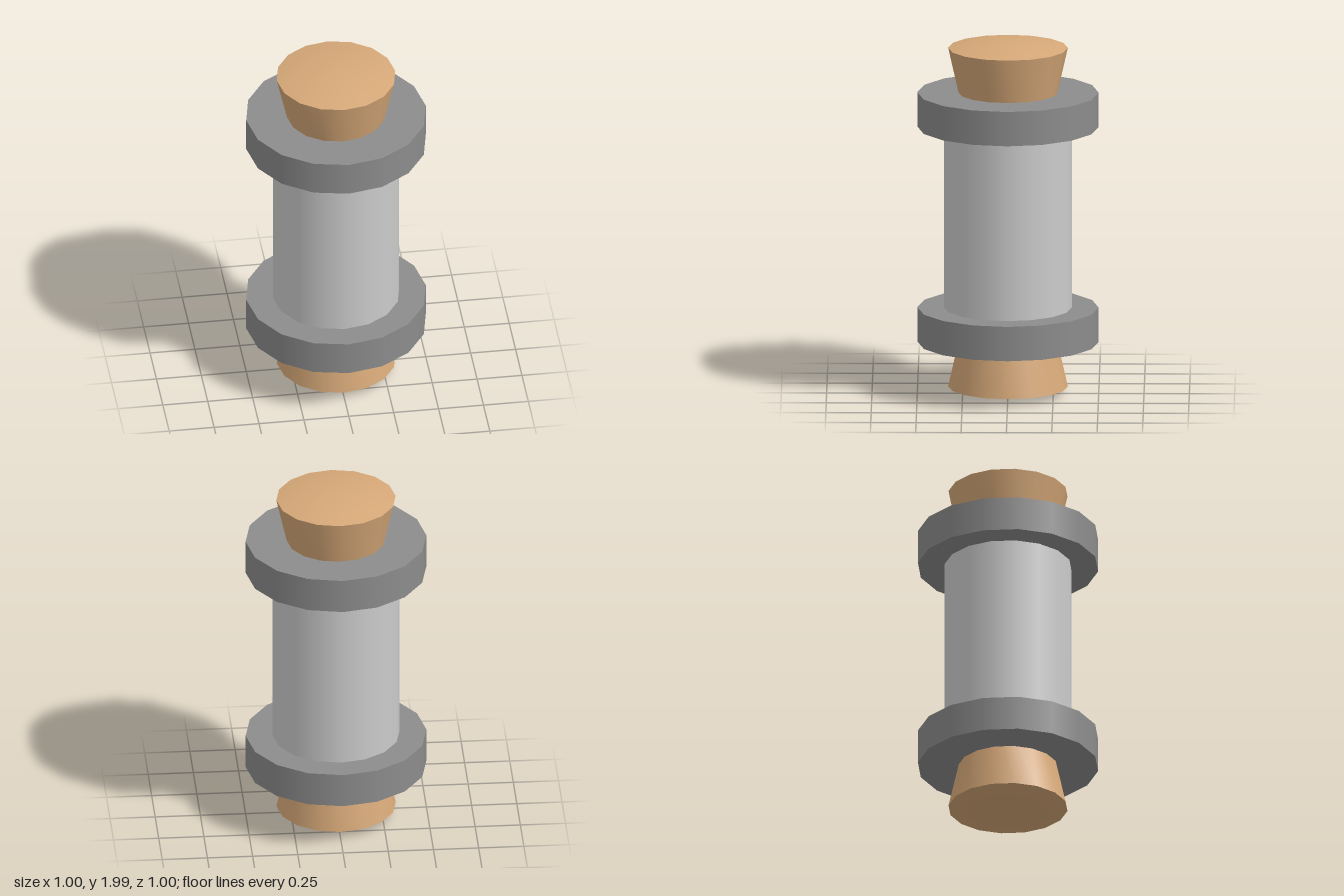
import * as THREE from 'three';
import { toCreasedNormals } from 'three/addons/utils/BufferGeometryUtils.js';

const SIDES = 16;
const CENTER_Y = 1.004;

export function createModel() {
  const model = new THREE.Group();
  model.name = 'cappedCanister';

  const bodyMaterial = new THREE.MeshStandardMaterial({ color: 0xcccccc });
  const ringMaterial = new THREE.MeshStandardMaterial({ color: 0x8c8c8c });
  const plugMaterial = new THREE.MeshStandardMaterial({ color: 0xd6a878 });

  // Straight tube between the two rings
  const body = new THREE.Mesh(new THREE.CylinderGeometry(0.352, 0.352, 1.06, SIDES), bodyMaterial);
  body.name = 'body';
  body.position.y = CENTER_Y;
  model.add(body);

  // Flared plug with a shallow domed face, measured from the middle of the model
  const profile = [new THREE.Vector2(0, 0.6), new THREE.Vector2(0.25, 0.6)];
  for (const r of [0.33, 0.25, 0.165, 0.08, 0]) {
    profile.push(new THREE.Vector2(r, 0.996 - 0.04 * (r / 0.33) ** 2));
  }
  const plugGeometry = toCreasedNormals(new THREE.LatheGeometry(profile, SIDES), 0.6);
  const ringGeometry = new THREE.CylinderGeometry(0.5, 0.5, 0.194, SIDES);

  // The same ring and plug close both ends, the lower pair upside down
  for (const end of ['upper', 'lower']) {
    const cap = new THREE.Group();
    cap.name = end + 'Cap';
    cap.position.y = CENTER_Y;
    if (end === 'lower') cap.rotation.x = Math.PI;

    const ring = new THREE.Mesh(ringGeometry, ringMaterial);
    ring.name = end + 'Ring';
    ring.position.y = 0.607;

    const plug = new THREE.Mesh(plugGeometry, plugMaterial);
    plug.name = end + 'Plug';

    cap.add(ring, plug);
    model.add(cap);
  }
  return model;
}
